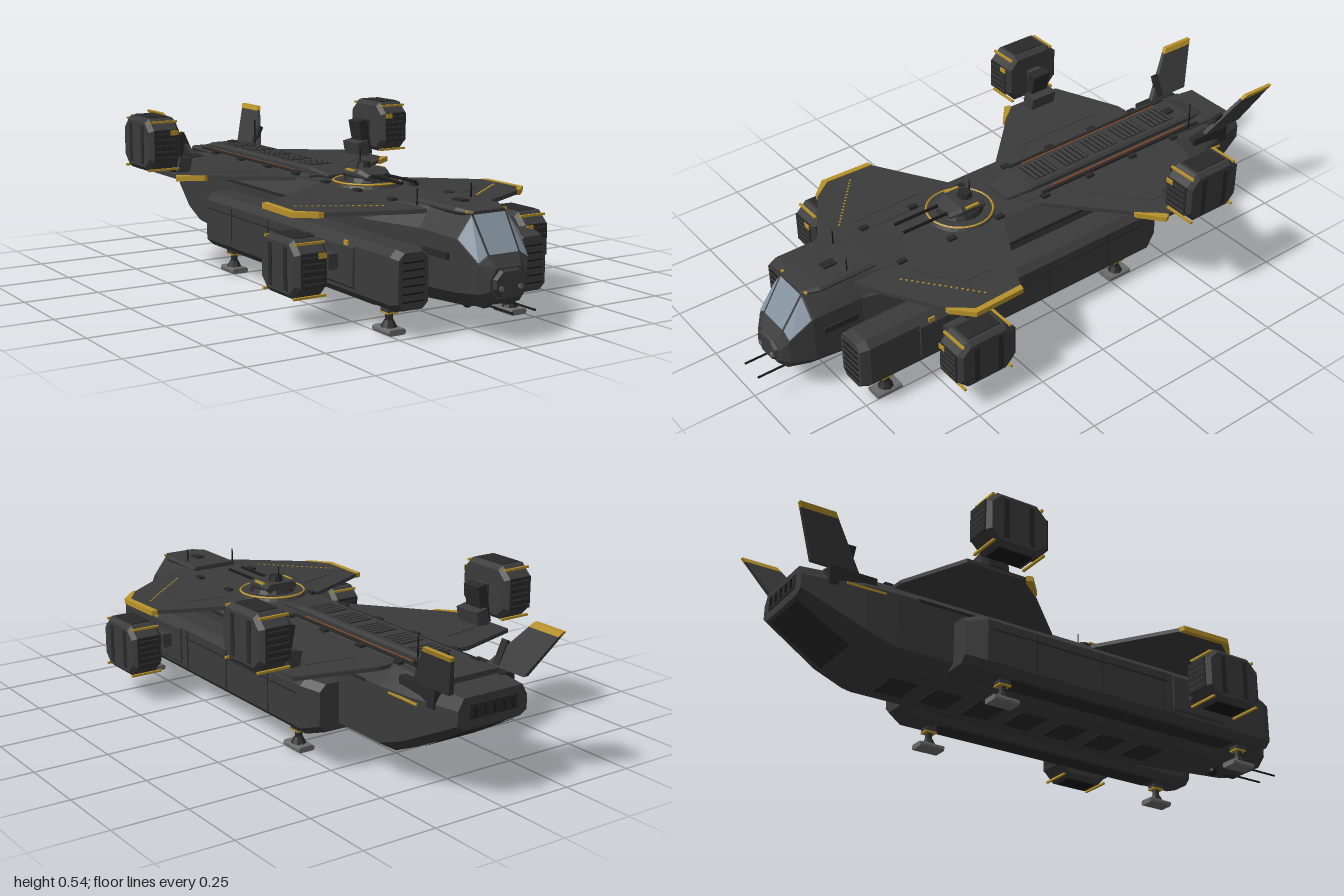
import * as THREE from 'three';

const mat = (name, color) => Object.assign(new THREE.MeshStandardMaterial({ color }), { name });

export function createModel() {
  const root = new THREE.Group();
  root.name = 'dropship';
  const hullGrey = mat('hullGrey', 0x3b3b3b), dark = mat('darkGrey', 0x292929), black = mat('black', 0x171717);
  const plate = mat('plateGrey', 0x454545), yellow = mat('markingYellow', 0xb8922a), orange = mat('rustOrange', 0x83482a);
  const glass = mat('canopyGlass', 0x84929f), steel = mat('steel', 0x6b6b6b);

  // Adds a faceted mesh; with both = true also its mirror image across x = 0.
  function add(name, geo, material, both = false) {
    const g = geo.index ? geo.toNonIndexed() : geo;
    g.computeVertexNormals();
    const put = (geometry, label) => {
      const m = new THREE.Mesh(geometry, material);
      m.name = label;
      root.add(m);
    };
    put(g, both ? name + 'Left' : name);
    if (!both) return;
    const r = g.clone(), p = g.attributes.position, q = r.attributes.position;
    for (let i = 0; i < p.count; i++) {
      const j = i % 3 === 1 ? i + 1 : i % 3 === 2 ? i - 1 : i;
      q.setXYZ(i, -p.getX(j), p.getY(j), p.getZ(j));
    }
    r.computeVertexNormals();
    put(r, name + 'Right');
  }
  const box = (w, h, d, x, y, z) => new THREE.BoxGeometry(w, h, d).translate(x, y, z);
  const cyl = (r1, r2, h, x, y, z, n = 12) => new THREE.CylinderGeometry(r1, r2, h, n).translate(x, y, z);
  const rod = (r, len, x, y, z) => new THREE.CylinderGeometry(r, r, len, 8).rotateX(Math.PI / 2).translate(x, y, z);
  const fromPoints = (pts) =>
    new THREE.BufferGeometry().setAttribute('position', new THREE.Float32BufferAttribute(pts.flat(), 3));

  // Skin over rings given front to back, counter-clockwise seen from the front.
  function loft(rings) {
    const out = [], n = rings[0].length, last = rings[rings.length - 1];
    for (let k = 0; k < rings.length - 1; k++)
      for (let i = 0; i < n; i++) {
        const j = (i + 1) % n, a = rings[k], b = rings[k + 1];
        out.push(a[i], b[i], b[j], a[i], b[j], a[j]);
      }
    for (let i = 1; i < n - 1; i++)
      out.push(rings[0][0], rings[0][i], rings[0][i + 1], last[0], last[i + 1], last[i]);
    return fromPoints(out);
  }
  // Octagon ring between x0..x1 and y0..y1 at depth z with corner cut c.
  const octagon = (x0, x1, y0, y1, z, c) => [
    [x1 - c, y0, z], [x1, y0 + c, z], [x1, y1 - c, z], [x1 - c, y1, z],
    [x0 + c, y1, z], [x0, y1 - c, z], [x0, y0 + c, z], [x0 + c, y0, z]];
  // Inset thin face laid over a quad.
  function panel(quad, inset, lift = 0.004) {
    const v = quad.map((p) => new THREE.Vector3(...p));
    const mid = v.reduce((s, p) => s.add(p), new THREE.Vector3()).multiplyScalar(0.25);
    const nrm = v[2].clone().sub(v[0]).cross(v[3].clone().sub(v[1])).normalize().multiplyScalar(lift);
    const [a, b, c, d] = v.map((p) => p.lerp(mid, inset).add(nrm).toArray());
    return fromPoints([a, b, c, a, c, d]);
  }

  // Hull: z, four heights (bottom, low, high, top), three half widths (bottom, middle, top)
  const rings = [
    [0.93, 0.13, 0.155, 0.19, 0.22, 0.04, 0.065, 0.045],
    [0.905, 0.11, 0.145, 0.23, 0.25, 0.06, 0.088, 0.055],
    [0.83, 0.095, 0.14, 0.295, 0.362, 0.07, 0.112, 0.06],
    [0.66, 0.085, 0.13, 0.3, 0.365, 0.08, 0.12, 0.08],
    [0.45, 0.08, 0.12, 0.3, 0.355, 0.11, 0.178, 0.12],
    [-0.64, 0.08, 0.12, 0.3, 0.355, 0.11, 0.178, 0.12],
    [-0.74, 0.125, 0.155, 0.3, 0.35, 0.11, 0.17, 0.12],
    [-0.94, 0.24, 0.255, 0.3, 0.335, 0.105, 0.13, 0.11],
  ].map(([z, yb, yl, yh, yt, wb, wm, wt]) => [
    [wb, yb, z], [wm, yl, z], [wm, yh, z], [wt, yt, z], [-wt, yt, z], [-wm, yh, z], [-wm, yl, z], [-wb, yb, z]]);
  add('hull', loft(rings), hullGrey);

  // Cockpit glass and nose
  const [, r1, r2] = rings, tailA = rings[6], tailB = rings[7];
  add('windshield', panel([r1[3], r2[3], r2[4], r1[4]], 0.06), glass);
  add('sideWindow', panel([r1[2], r2[2], r2[3], r1[3]], 0.08), glass, true);
  add('canopyRoof', loft([octagon(-0.06, 0.06, 0.355, 0.37, 0.835, 0.006),
    octagon(-0.085, 0.085, 0.355, 0.376, 0.78, 0.008), octagon(-0.085, 0.085, 0.355, 0.376, 0.58, 0.008)]), hullGrey);
  add('chinPlate', loft([octagon(-0.05, 0.05, 0.14, 0.21, 0.94, 0.022),
    octagon(-0.075, 0.075, 0.125, 0.232, 0.9, 0.03)]), hullGrey);
  add('headlight', rod(0.008, 0.008, 0.034, 0.163, 0.94), steel, true);
  add('noseGun', rod(0.0035, 0.17, 0.04, 0.105, 0.915), black, true);
  add('noseGunMount', box(0.022, 0.025, 0.08, 0.04, 0.108, 0.84), dark, true);
  add('sensorBall', new THREE.SphereGeometry(0.016, 10, 8).translate(0, 0.077, 0.74), black);
  add('canopyMark', box(0.025, 0.006, 0.008, 0.06, 0.367, 0.822), yellow, true);
  add('cheekRail', box(0.012, 0.02, 0.12, 0.118, 0.24, 0.74), dark, true);

  // Rear ramp and tail
  add('rearRamp', panel([tailA[7], tailB[7], tailB[0], tailA[0]], 0.1), dark);
  add('rearDoor', box(0.18, 0.045, 0.008, 0, 0.29, -0.94), dark);
  for (let i = 0; i < 5; i++) add('rampRib' + i, box(0.006, 0.03, 0.012, -0.07 + i * 0.035, 0.29, -0.942), black);
  add('tailBlock', box(0.055, 0.06, 0.16, 0.125, 0.315, -0.78), dark, true);

  // Side sponsons with louvred fronts
  add('sponson', loft([octagon(0.165, 0.268, 0.09, 0.258, 0.77, 0.02), octagon(0.16, 0.28, 0.083, 0.266, 0.74, 0.022),
    octagon(0.15, 0.282, 0.083, 0.266, -0.38, 0.022), octagon(0.1, 0.25, 0.1, 0.255, -0.44, 0.022)]), hullGrey, true);
  add('sponsonForwardCover', loft([octagon(0.17, 0.287, 0.1, 0.26, 0.56, 0.022),
    octagon(0.17, 0.287, 0.1, 0.26, 0.34, 0.022)]), hullGrey, true);
  for (let i = 0; i < 6; i++) add('sponsonLouvre' + i, box(0.075, 0.004, 0.006, 0.217, 0.115 + i * 0.023, 0.77), black, true);
  add('sponsonMark', box(0.006, 0.022, 0.022, 0.281, 0.245, 0.515), yellow, true);
  add('sponsonFrontMark', box(0.02, 0.016, 0.006, 0.187, 0.246, 0.765), yellow, true);
  for (const z of [0.3, 0.05, -0.2]) add('sponsonSeam', box(0.004, 0.135, 0.004, 0.281, 0.175, z), dark, true);
  add('sponsonGroove', box(0.004, 0.005, 0.68, 0.281, 0.215, -0.02), dark, true);
  add('sponsonSkid', box(0.07, 0.01, 0.9, 0.215, 0.082, 0.17), dark, true);

  // Wings: flat plan in x/z, drooping slightly to the tip
  function wing(name, plan, y, thick, material) {
    const s = new THREE.Shape(plan.map(([x, z]) => new THREE.Vector2(x, -z)));
    const g = new THREE.ExtrudeGeometry(s, { depth: thick, bevelEnabled: false }).rotateX(-Math.PI / 2);
    const p = g.attributes.position;
    for (let i = 0; i < p.count; i++) p.setY(i, p.getY(i) + y - p.getX(i) * 0.04);
    add(name, g, material, true);
  }
  wing('frontWing', [[0.1, 0.67], [0.15, 0.65], [0.37, 0.51], [0.43, 0.45], [0.425, 0.28], [0.13, 0.12], [0.1, 0.12]], 0.348, 0.013, hullGrey);
  wing('frontWingEdge', [[0.36, 0.517], [0.375, 0.515], [0.435, 0.455], [0.43, 0.275], [0.41, 0.27], [0.416, 0.445]], 0.346, 0.017, yellow);
  wing('rearWing', [[0.1, -0.01], [0.15, -0.06], [0.35, -0.26], [0.415, -0.32], [0.415, -0.54], [0.17, -0.63], [0.1, -0.63]], 0.348, 0.013, hullGrey);
  wing('rearWingEdge', [[0.345, -0.25], [0.355, -0.25], [0.43, -0.315], [0.42, -0.335], [0.405, -0.325]], 0.346, 0.017, yellow);
  for (let i = 0; i < 16; i++) {
    const t = i / 15, x = 0.175 + t * 0.2;
    add('wingDash', box(0.006, 0.003, 0.006, x, 0.3615 - x * 0.04, 0.55 - t * 0.17), yellow, true);
  }
  wing('frontWingPanel', [[0.16, 0.5], [0.3, 0.4], [0.3, 0.3], [0.16, 0.24]], 0.358, 0.005, hullGrey);
  wing('rearWingPanel', [[0.18, -0.2], [0.33, -0.34], [0.33, -0.48], [0.18, -0.52]], 0.358, 0.005, hullGrey);

  // Engine pods, chamfered all round
  function enginePod(name, x, y, z) {
    const c = 0.03, h = 0.075, d = 0.095, b = 0.014;
    const s = new THREE.Shape(octagon(-d, d, -h, h, 0, c).map(([u, v]) => new THREE.Vector2(u, v)));
    const g = new THREE.ExtrudeGeometry(s, { depth: 0.084, bevelThickness: b, bevelSize: b, bevelSegments: 1 });
    add(name, g.translate(0, 0, -0.042).rotateY(Math.PI / 2).translate(x, y, z), hullGrey, true);
    for (const f of [1, -1]) {
      add(name + 'Face', box(0.085, 0.105, 0.006, x, y, z + f * 0.109), dark, true);
      for (let i = -2; i <= 2; i++) add(name + 'Slat', box(0.075, 0.004, 0.008, x, y + i * 0.02, z + f * 0.11), hullGrey, true);
      add(name + 'TopBand', box(0.1, 0.007, 0.008, x, y + 0.077, z + f * 0.088), yellow, true);
      add(name + 'BottomBand', box(0.112, 0.007, 0.008, x, y - 0.084, z + f * 0.088), yellow, true);
      add(name + 'SideRib', box(0.006, 0.13, 0.02, x + 0.055, y, z + f * 0.045), dark, true);
    }
    add(name + 'Mark', box(0.027, 0.017, 0.004, x - 0.03, y + 0.042, z + 0.113), yellow, true);
    add(name + 'Intake', box(0.07, 0.008, 0.12, x, y + 0.088, z), dark, true);
    add(name + 'Exhaust', box(0.07, 0.008, 0.12, x, y - 0.088, z), black, true);
  }
  enginePod('rearEngine', 0.464, 0.452, -0.425);
  enginePod('frontEngine', 0.416, 0.186, 0.44);

  // Engine arms
  add('rearArm', new THREE.BoxGeometry(0.035, 0.13, 0.07).rotateZ(0.2).translate(0.382, 0.41, -0.425), dark, true);
  add('rearArmBase', new THREE.BoxGeometry(0.045, 0.055, 0.1).rotateZ(0.2).translate(0.365, 0.37, -0.425), hullGrey, true);
  add('rearArmJoint', box(0.04, 0.05, 0.05, 0.4, 0.45, -0.425), hullGrey, true);
  add('frontArm', box(0.1, 0.03, 0.05, 0.32, 0.186, 0.44), dark, true);
  add('frontArmCollar', box(0.035, 0.048, 0.075, 0.302, 0.186, 0.44), hullGrey, true);
  add('frontArmJoint', box(0.02, 0.055, 0.08, 0.355, 0.186, 0.44), dark, true);

  // Landing legs
  for (const z of [0.66, -0.29]) {
    add('foot', loft([octagon(0.196, 0.254, 0, 0.018, z + 0.045, 0.005), octagon(0.196, 0.254, 0, 0.018, z - 0.045, 0.005)]), steel, true);
    add('ankle', cyl(0.014, 0.026, 0.022, 0.225, 0.028, z, 8), dark, true);
    add('legStrut', cyl(0.012, 0.012, 0.06, 0.225, 0.06, z, 8), dark, true);
    add('legCollar', box(0.034, 0.014, 0.04, 0.225, 0.07, z), hullGrey, true);
    add('legMark', box(0.036, 0.005, 0.042, 0.225, 0.062, z), yellow, true);
  }

  // Canted tail fins, cross-sections taken from the root up
  const finRing = (t, w) => {
    const x = 0.14 + 0.067 * t, y = 0.345 + 0.145 * t, f = -0.76 - 0.12 * t, r = -0.92 - 0.08 * t;
    return [[x - w, y, f], [x + w, y, f], [x + w, y, r], [x - w, y, r]];
  };
  add('tailFin', loft([finRing(0.9, 0.006), finRing(0, 0.009)]), hullGrey, true);
  add('tailFinTip', loft([finRing(1, 0.007), finRing(0.89, 0.0075)]), yellow, true);
  add('finBrace', new THREE.BoxGeometry(0.012, 0.08, 0.025).rotateZ(-0.43).translate(0.152, 0.385, -0.8), dark, true);

  // Dorsal spine with grilles
  add('dorsalDeck', loft([octagon(-0.1, 0.1, 0.345, 0.362, 0, 0.006), octagon(-0.1, 0.1, 0.345, 0.362, -0.85, 0.006)]), hullGrey);
  add('spine', loft([octagon(-0.05, 0.05, 0.355, 0.366, 0.045, 0.003), octagon(-0.066, 0.066, 0.355, 0.382, -0.05, 0.008),
    octagon(-0.066, 0.066, 0.355, 0.382, -0.76, 0.008), octagon(-0.055, 0.055, 0.34, 0.36, -0.84, 0.004)]), hullGrey);
  for (let i = 0; i < 5; i++) {
    add('spineGrille' + i, box(0.084, 0.004, 0.1, 0, 0.382, -0.13 - i * 0.13), dark);
    for (let k = -2; k <= 2; k++) add('grilleBar', box(0.084, 0.004, 0.006, 0, 0.384, -0.13 - i * 0.13 + k * 0.02), plate);
  }
  add('spinePipe', box(0.006, 0.005, 0.6, 0.08, 0.364, -0.42), orange, true);
  add('tailMark', box(0.005, 0.007, 0.3, 0.1725, 0.29, -0.66), yellow, true);
  add('spineRail', box(0.01, 0.01, 0.7, 0.092, 0.362, -0.42), dark, true);
  add('shoulderRail', box(0.008, 0.008, 0.9, 0.178, 0.298, -0.12), dark, true);

  // Dorsal turret
  add('turretBase', cyl(0.105, 0.118, 0.02, 0, 0.36, 0.2, 28), hullGrey);
  add('turretRing', new THREE.TorusGeometry(0.109, 0.004, 4, 32).rotateX(Math.PI / 2).translate(0, 0.369, 0.2), yellow);
  add('turretDrum', cyl(0.07, 0.08, 0.016, 0, 0.375, 0.2, 16), dark);
  add('turretBody', loft([octagon(-0.045, 0.045, 0.375, 0.395, 0.27, 0.008), octagon(-0.06, 0.06, 0.375, 0.41, 0.23, 0.012),
    octagon(-0.06, 0.06, 0.375, 0.405, 0.14, 0.012)]), hullGrey);
  add('turretHatch', cyl(0.022, 0.026, 0.02, 0, 0.415, 0.18, 10), dark);
  add('turretBarrel', rod(0.005, 0.2, 0.026, 0.392, 0.335), black, true);
  add('turretMark', box(0.01, 0.006, 0.05, 0.056, 0.404, 0.19), yellow, true);

  // Aerials and small deck fittings
  for (const [x, z, h] of [[0, 0.16, 0.08], [0.1, -0.72, 0.1], [-0.1, 0.62, 0.05], [0.06, 0.67, 0.06]])
    add('aerial', cyl(0.002, 0.003, h, x, 0.36 + h / 2 + (x ? 0 : 0.02), z, 6), black);
  add('roofHatch', box(0.03, 0.008, 0.045, 0, 0.378, 0.7), dark);
  add('spineHatch', box(0.025, 0.012, 0.04, 0, 0.384, -0.71), dark);
  for (let i = 0; i < 7; i++) {
    add('deckFitting' + i, box(0.018, 0.01, 0.03, 0.108, 0.36, 0.5 - i * 0.19), dark, true);
    add('bellyPanel' + i, box(0.12, 0.006, 0.1, 0, 0.08, 0.42 - i * 0.16), dark);
  }
  return root;
}
